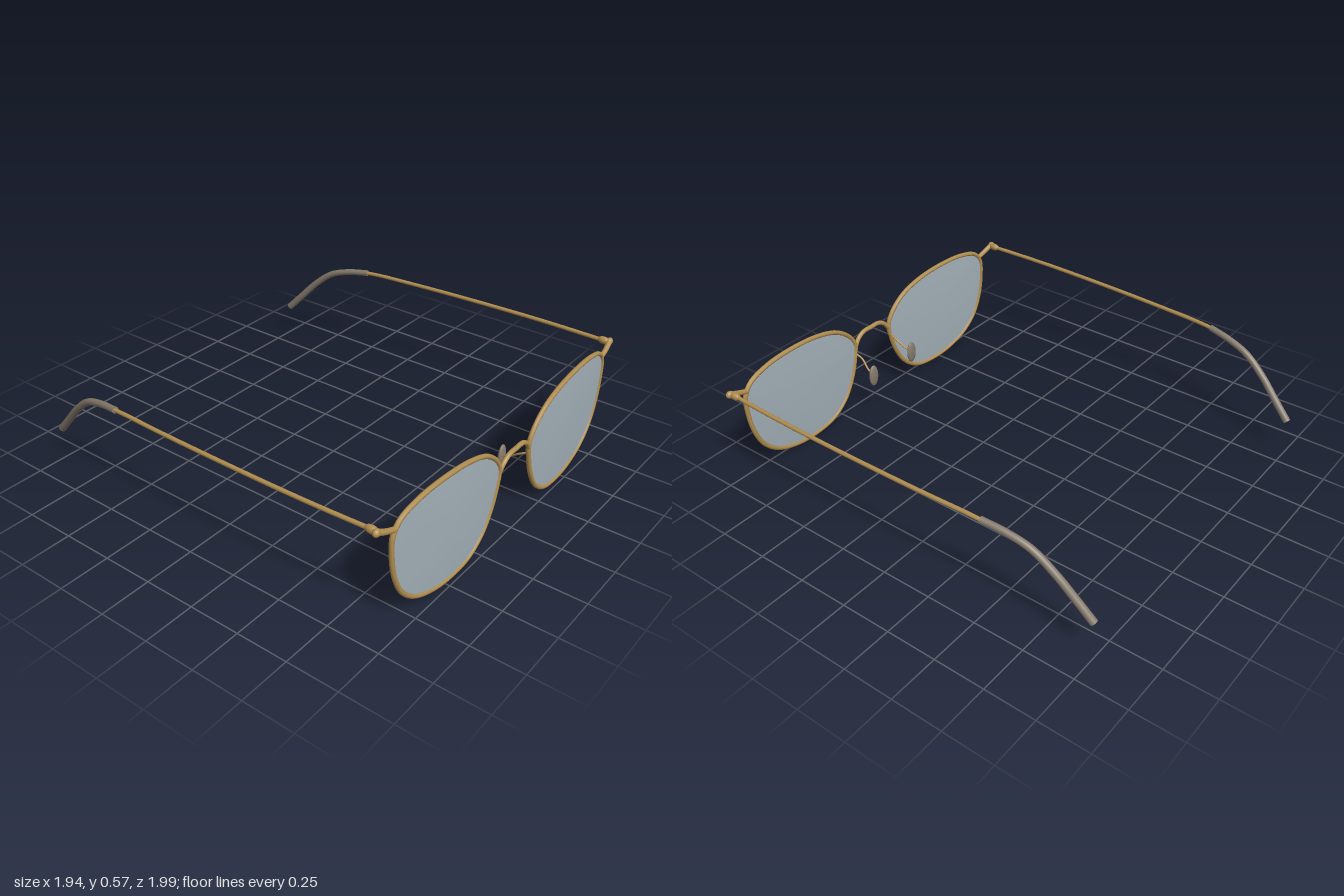
import * as THREE from 'three';

const gold = new THREE.MeshStandardMaterial({ color: 0xb08d4f });
gold.name = 'gold metal';
const grey = new THREE.MeshStandardMaterial({ color: 0x857a6c });
grey.name = 'warm grey plastic';
const glass = new THREE.MeshStandardMaterial({ color: 0xa3b0b8 });
glass.name = 'blue grey lens';

// The front bows gently back towards the hinges
const bow = (x) => 0.982 - 0.038 * x * x;

// Lens outline on the +x side, anticlockwise seen from the front
const OUTLINE = [
  [0.125, 0.37], [0.136, 0.295], [0.167, 0.2], [0.23, 0.098], [0.325, 0.032],
  [0.455, 0.012], [0.585, 0.024], [0.71, 0.07], [0.795, 0.145], [0.845, 0.25],
  [0.866, 0.37], [0.862, 0.46], [0.82, 0.513], [0.715, 0.546], [0.56, 0.556],
  [0.375, 0.54], [0.245, 0.5], [0.16, 0.435],
];

const toCurve = (points, closed = false) =>
  new THREE.CatmullRomCurve3(points.map((p) => new THREE.Vector3(...p)), closed, 'centripetal');

function mesh(name, geometry, material) {
  const m = new THREE.Mesh(geometry, material);
  m.name = name;
  return m;
}

// Rod along a curve, tapering from r0 to r1, with optional flat end caps
function rod(name, points, r0, r1, material, segments = 32) {
  const curve = toCurve(points);
  const sides = 12;
  const geo = new THREE.TubeGeometry(curve, segments, 1, sides);
  const pos = geo.attributes.position;
  const c = new THREE.Vector3();
  const v = new THREE.Vector3();
  for (let i = 0; i < pos.count; i++) {
    const t = Math.floor(i / (sides + 1)) / segments;
    curve.getPointAt(t, c);
    v.fromBufferAttribute(pos, i).sub(c).multiplyScalar(r0 + (r1 - r0) * t).add(c);
    pos.setXYZ(i, v.x, v.y, v.z);
  }
  const group = new THREE.Group();
  group.name = name;
  group.add(mesh(name + 'Rod', geo, material));
  [[0, r0, -1], [1, r1, 1]].forEach(([t, r, dir]) => {
    const cap = mesh(name + 'Cap', new THREE.CircleGeometry(r, sides), material);
    cap.position.copy(curve.getPointAt(t));
    cap.quaternion.setFromUnitVectors(
      new THREE.Vector3(0, 0, 1), curve.getTangentAt(t).multiplyScalar(dir));
    group.add(cap);
  });
  return group;
}

function ellipsoid(name, center, radii, material) {
  const m = mesh(name, new THREE.SphereGeometry(1, 20, 14).scale(...radii), material);
  m.position.set(...center);
  return m;
}

// Thin lens: two fans joined at a soft shared edge
function lensGeometry(rim, s) {
  const n = 72;
  const half = 0.004;
  const positions = [];
  const index = [];
  const centre = [s * 0.49, 0.3, bow(0.49)];
  for (const side of [1, -1]) {
    for (let i = 0; i < n; i++) {
      const p = rim.getPointAt(i / n);
      positions.push(p.x, p.y, p.z + side * half);
    }
  }
  positions.push(centre[0], centre[1], centre[2] + half);
  positions.push(centre[0], centre[1], centre[2] - half);
  const tri = (a, b, c) => (s > 0 ? index.push(a, b, c) : index.push(a, c, b));
  for (let i = 0; i < n; i++) {
    const j = (i + 1) % n;
    tri(2 * n, i, j);
    tri(2 * n + 1, n + j, n + i);
    tri(i, n + i, n + j);
    tri(i, n + j, j);
  }
  const geo = new THREE.BufferGeometry();
  geo.setAttribute('position', new THREE.Float32BufferAttribute(positions, 3));
  geo.setIndex(index);
  geo.computeVertexNormals();
  return geo;
}

function buildSide(s) {
  const side = new THREE.Group();
  side.name = s > 0 ? 'leftSide' : 'rightSide';
  const mirror = (points) => points.map(([x, y, z]) => [s * x, y, z]);

  // Rim and lens
  const rim = toCurve(OUTLINE.map(([x, y]) => [s * x, y, bow(x)]), true);
  side.add(mesh('rim', new THREE.TubeGeometry(rim, 96, 0.0115, 10, true), gold));
  side.add(mesh('lens', lensGeometry(rim, s), glass));

  // End piece and hinge
  side.add(rod('endPiece', mirror([[0.853, 0.483, 0.953], [0.9, 0.5, 0.95], [0.95, 0.522, 0.943]]),
    0.012, 0.014, gold, 10));
  side.add(ellipsoid('hingeKnob', [s * 0.952, 0.522, 0.942], [0.02, 0.018, 0.016], gold));
  side.add(ellipsoid('hingeBarrel', [s * 0.945, 0.521, 0.915], [0.017, 0.019, 0.032], gold));

  // Temple arm and its curved ear tip
  side.add(rod('temple', mirror([
    [0.944, 0.521, 0.92], [0.952, 0.519, 0.7], [0.955, 0.517, 0.5], [0.95, 0.511, 0.1],
    [0.94, 0.505, -0.2], [0.928, 0.5, -0.42], [0.922, 0.494, -0.5]]), 0.01, 0.01, gold));
  side.add(rod('earTip', mirror([
    [0.923, 0.496, -0.485], [0.906, 0.477, -0.6], [0.89, 0.439, -0.71],
    [0.875, 0.355, -0.815], [0.861, 0.265, -0.9], [0.849, 0.175, -0.984]]), 0.016, 0.019, grey));

  // Nose pad on its wire arm
  side.add(rod('padArm', mirror([
    [0.13, 0.32, 0.975], [0.125, 0.303, 0.94], [0.138, 0.265, 0.89], [0.143, 0.247, 0.852]]),
    0.005, 0.005, gold, 14));
  side.add(ellipsoid('nosePad', [s * 0.144, 0.245, 0.846], [0.03, 0.059, 0.013], grey));
  return side;
}

export function createModel() {
  const model = new THREE.Group();
  model.name = 'glasses';
  model.add(buildSide(1), buildSide(-1));

  // Arched bridge between the rims
  model.add(rod('bridge', [
    [-0.124, 0.355, 0.981], [-0.095, 0.392, 0.984], [-0.055, 0.414, 0.985], [0, 0.415, 0.985],
    [0.055, 0.414, 0.985], [0.095, 0.392, 0.984], [0.124, 0.355, 0.981]], 0.0115, 0.0115, gold));
  return model;
}
